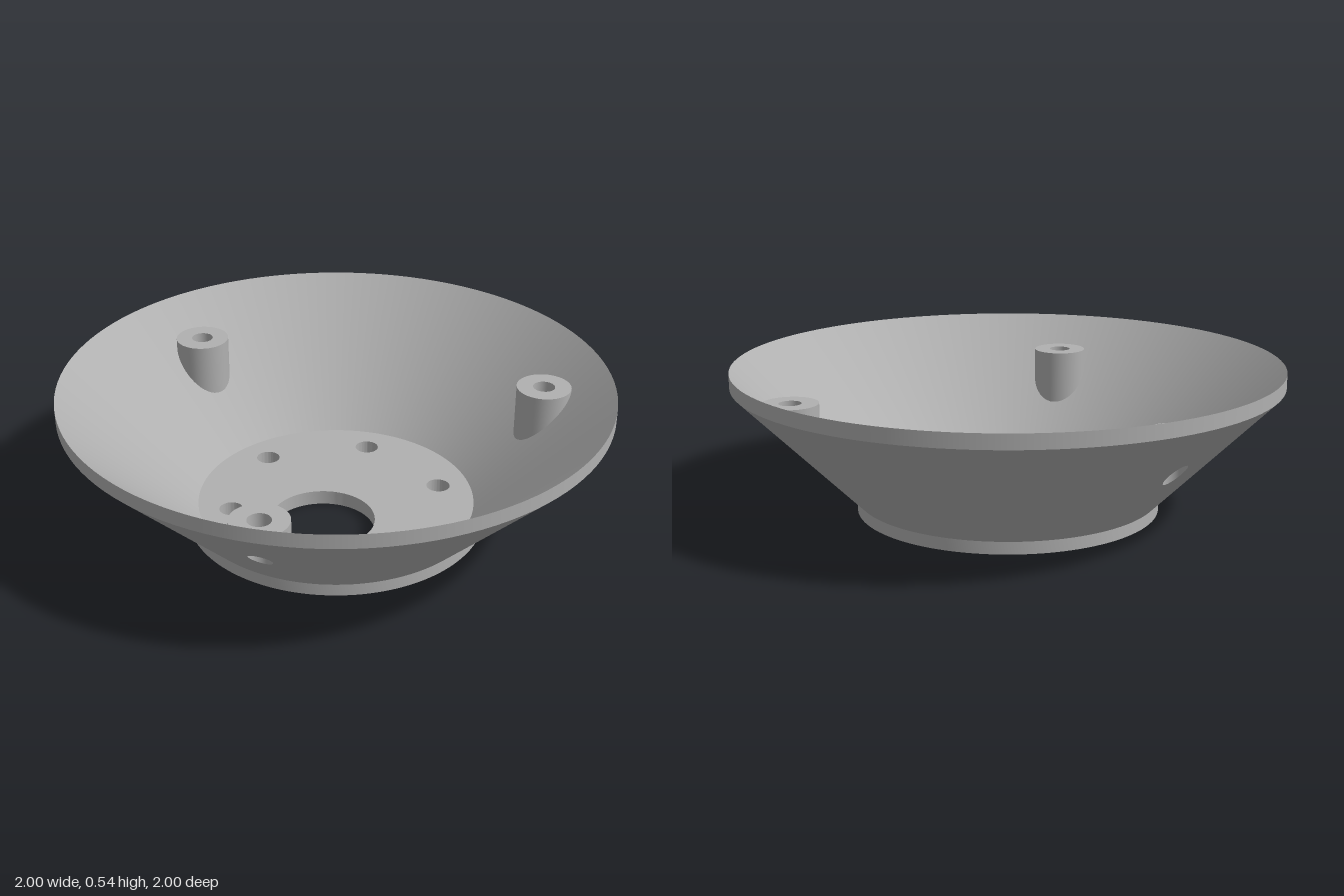
import * as THREE from 'three';
import { toCreasedNormals } from 'three/addons/utils/BufferGeometryUtils.js';

const SEGMENTS = 120;
const POST_RADIUS = 0.793; // distance of the posts from the axis
const BORE = 0.041;
const PATCH = THREE.MathUtils.degToRad(12); // half angle of the pierced cone sectors

// Flat round plate with a large offset opening and six screw holes
function plate(radius, y, depth) {
  const shape = new THREE.Shape().absarc(0, 0, radius, 0, Math.PI * 2);
  const addHole = (x, z, r) =>
    shape.holes.push(new THREE.Path().absarc(x, -z, r, 0, Math.PI * 2, true));
  addHole(0, 0.158, 0.191);
  for (let i = 0; i < 6; i++) {
    const a = (i * Math.PI) / 3;
    addHole(0.397 * Math.sin(a), 0.397 * Math.cos(a), 0.044);
  }
  const geo = new THREE.ExtrudeGeometry(shape, { depth, bevelEnabled: false, curveSegments: SEGMENTS / 2 });
  geo.rotateX(-Math.PI / 2).translate(0, y, 0);
  return toCreasedNormals(geo, 0.6);
}

// Sector of a 45 degree cone (y = r - drop) pierced by a vertical bore
function piercedSector(r0, r1, drop, outward) {
  const n = 8, rings = 6, edge = [];
  for (let side = 0; side < 4; side++) {
    for (let k = 0; k < n; k++) {
      const t = k / n;
      const [u, v] = [[t, 0], [1, t], [1 - t, 1], [0, 1 - t]][side];
      edge.push([(2 * u - 1) * PATCH, r0 + v * (r1 - r0)]);
    }
  }
  const position = [], normal = [], index = [];
  const count = edge.length, s = (outward ? 1 : -1) * Math.SQRT1_2;
  for (let j = 0; j <= rings; j++) {
    for (const [theta, r] of edge) {
      const a = Math.atan2(r - POST_RADIUS, theta * POST_RADIUS);
      const hx = BORE * Math.cos(a), hz = POST_RADIUS + BORE * Math.sin(a);
      const th = THREE.MathUtils.lerp(Math.atan2(hx, hz), theta, j / rings);
      const rr = THREE.MathUtils.lerp(Math.hypot(hx, hz), r, j / rings);
      position.push(rr * Math.sin(th), rr - drop, rr * Math.cos(th));
      normal.push(s * Math.sin(th), -s, s * Math.cos(th));
    }
  }
  for (let j = 0; j < rings; j++) {
    for (let i = 0; i < count; i++) {
      const a = j * count + i, b = j * count + ((i + 1) % count);
      const c = a + count, d = b + count;
      if (outward) index.push(a, c, b, b, c, d);
      else index.push(a, b, c, b, d, c);
    }
  }
  const geo = new THREE.BufferGeometry();
  geo.setAttribute('position', new THREE.Float32BufferAttribute(position, 3));
  geo.setAttribute('normal', new THREE.Float32BufferAttribute(normal, 3));
  geo.setIndex(index);
  return geo;
}

// Upright tube whose lower edge follows the cone y = r - drop
function tubeOnCone(radius, top, drop) {
  const geo = new THREE.CylinderGeometry(radius, radius, 1, 48, 1, true);
  geo.translate(0, 0, POST_RADIUS);
  const p = geo.attributes.position;
  for (let i = 0; i < p.count; i++) {
    p.setY(i, p.getY(i) > 0 ? top : Math.hypot(p.getX(i), p.getZ(i)) - drop);
  }
  return geo;
}

export function createModel() {
  const model = new THREE.Group();
  model.name = 'mountingBowl';
  const grey = new THREE.MeshStandardMaterial({ color: 0xb0b0b0, side: THREE.DoubleSide });
  grey.name = 'plainGrey';
  const add = (parent, name, geo) => {
    const mesh = new THREE.Mesh(geo, grey);
    mesh.name = name;
    parent.add(mesh);
    return mesh;
  };

  const base = 0.557, floor = 0.515, floorY = 0.055, rimLow = 0.488, rimTop = 0.54, postTop = 0.435;
  const outerDrop = 1 - rimLow, innerDrop = 1 - rimTop;

  // Base and raised inner floor
  add(model, 'basePlate', plate(base, 0, base - outerDrop));
  add(model, 'floorPlate', plate(floor, base - outerDrop, floorY - (base - outerDrop)));

  // Straight outer band of the rim
  add(model, 'rimBand', new THREE.LatheGeometry(
    [new THREE.Vector2(1, rimLow), new THREE.Vector2(1, rimTop)], SEGMENTS));

  // Three equal thirds, each with a plain wall, a pierced wall and a screw post
  const wall = (a, b) => new THREE.LatheGeometry(
    [new THREE.Vector2(...a), new THREE.Vector2(...b)], 32, PATCH, Math.PI * 2 / 3 - 2 * PATCH);
  const cap = new THREE.RingGeometry(BORE, 0.102, 48);
  cap.rotateX(-Math.PI / 2).translate(0, postTop, POST_RADIUS);

  for (let i = 0; i < 3; i++) {
    const third = new THREE.Group();
    third.name = 'wallThird' + (i + 1);
    third.rotation.y = (i * Math.PI * 2) / 3;
    add(third, 'outerWall', wall([base, base - outerDrop], [1, rimLow]));
    add(third, 'innerWall', wall([1, rimTop], [floor, floorY]));
    add(third, 'outerWallWithHole', piercedSector(base, 1, outerDrop, true));
    add(third, 'innerWallWithHole', piercedSector(floor, 1, innerDrop, false));

    const post = new THREE.Group();
    post.name = 'screwPost';
    add(post, 'postSide', tubeOnCone(0.102, postTop, innerDrop));
    add(post, 'postBore', tubeOnCone(BORE, postTop, outerDrop));
    add(post, 'postTop', cap);
    third.add(post);
    model.add(third);
  }
  return model;
}
